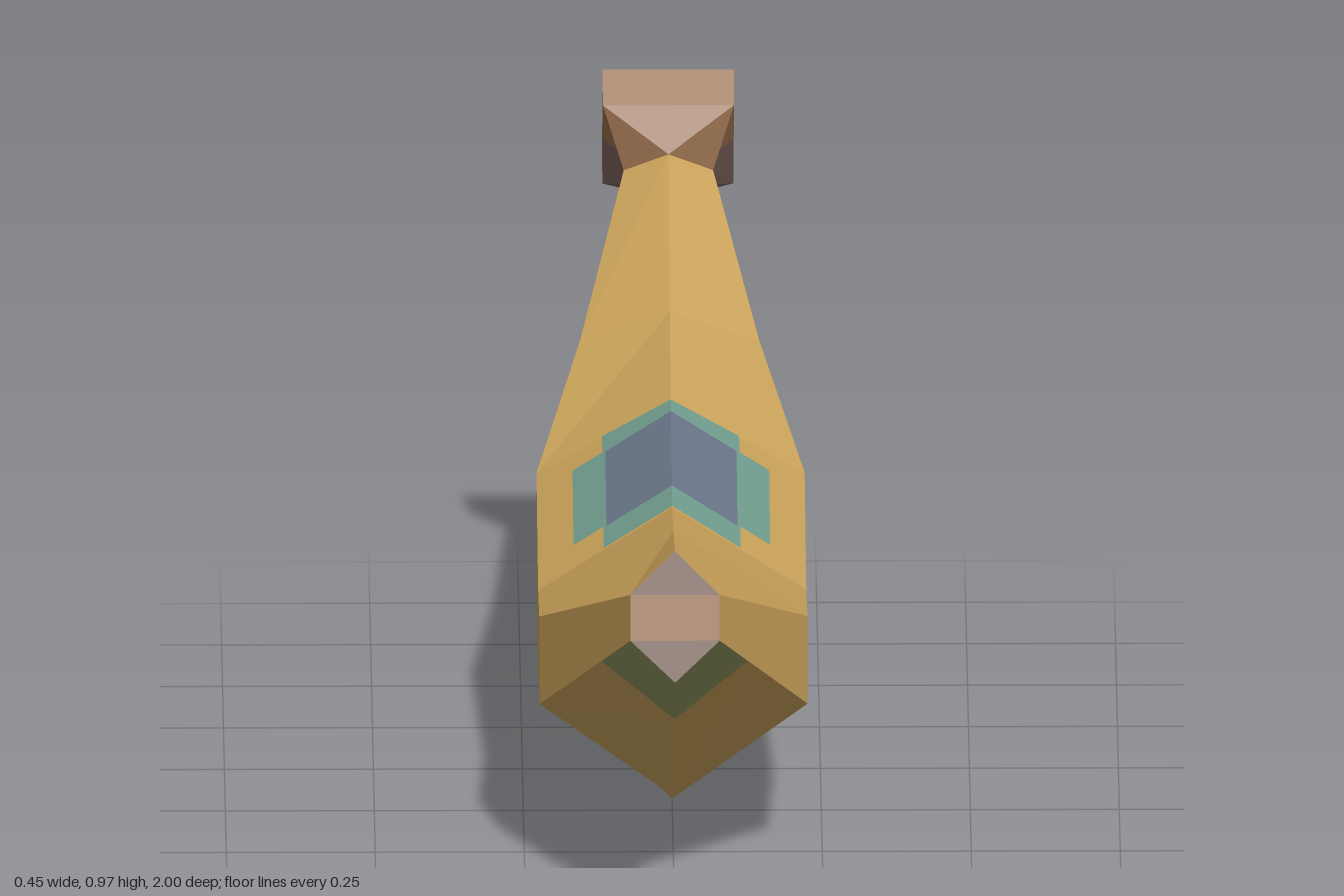
import * as THREE from 'three';

const MATS = {
  peelYellow: 0xc9a259, unripeGreen: 0x91955f, labelTeal: 0x6f9c8c,
  labelSlate: 0x697588, stemBrown: 0x99704f, cutMauve: 0x7f645d,
};

// Each station: half width, then [z, y] of top, upper side, lower side, bottom
const STATIONS = [
  [0.075, [0.93, 0.65], [0.953, 0.58], [0.978, 0.507], [1.0, 0.44]],
  [0.225, [0.50, 0.56], [0.53, 0.42], [0.575, 0.28], [0.615, 0.13]],
  [0.225, [0.22, 0.52], [0.22, 0.376], [0.205, 0.23], [0.18, 0.0]],
  [0.225, [-0.18, 0.59], [-0.22, 0.453], [-0.25, 0.305], [-0.30, 0.09]],
  [0.15, [-0.44, 0.67], [-0.48, 0.61], [-0.565, 0.495], [-0.65, 0.365]],
  [0.075, [-0.77, 0.85], [-0.795, 0.815], [-0.825, 0.78], [-0.85, 0.748]],
];

const lerp = (a, b, t) => a.map((v, i) => v + (b[i] - v) * t);
const flip = (poly) => poly.map(([x, y, z]) => [-x, y, z]).reverse();
const both = (polys) => polys.concat(polys.map(flip));

// Flat-shaded mesh from convex polygons, each split as a fan
function polyMesh(name, polys, material) {
  const pos = [];
  for (const p of polys) {
    for (let i = 1; i < p.length - 1; i++) pos.push(...p[0], ...p[i], ...p[i + 1]);
  }
  const geo = new THREE.BufferGeometry();
  geo.setAttribute('position', new THREE.Float32BufferAttribute(pos, 3));
  geo.computeVertexNormals();
  const mesh = new THREE.Mesh(geo, material);
  mesh.name = name;
  return mesh;
}

export function createModel() {
  const group = new THREE.Group();
  group.name = 'banana';
  const mats = {};
  for (const [name, color] of Object.entries(MATS)) {
    mats[name] = new THREE.MeshStandardMaterial({ color });
    mats[name].name = name;
  }
  const add = (name, mat, polys) => group.add(polyMesh(name, polys, mats[mat]));

  // Left half of every hexagonal ring: top, upper side, lower side, bottom
  const rings = STATIONS.map(([w, ...pts]) =>
    pts.map(([z, y], i) => [i === 1 || i === 2 ? w : 0, y, z]));

  // Peel, with unripe patches near both ends
  const peel = [], frontGreen = [], rearGreen = [];
  for (let s = 0; s < rings.length - 1; s++) {
    for (let i = 0; i < 3; i++) {
      const a = rings[s][i], b = rings[s][i + 1];
      const d = rings[s + 1][i], c = rings[s + 1][i + 1];
      const front = s === 0 && i === 2, rear = s === 4 && i > 0;
      if (!front && !rear) { peel.push([a, b, c, d]); continue; }
      const t = front ? 0.32 : 0.5 - 0.06 * (i - 1);
      const t2 = front ? 0.32 : t - 0.06;
      const m = lerp(a, d, t), n = lerp(b, c, t2);
      (front ? frontGreen : peel).push([a, b, n, m]);
      (front ? peel : rearGreen).push([m, n, c, d]);
    }
  }
  add('peel', 'peelYellow', both(peel));
  add('frontUnripePatch', 'unripeGreen', both(frontGreen));
  add('rearUnripePatch', 'unripeGreen', both(rearGreen));

  // Blossom tip: brown band between two cut corners
  const mirror = ([x, y, z]) => [-x, y, z];
  const [tT, tU, tL, tB] = rings[0];
  add('tipBand', 'stemBrown', [[tU, mirror(tU), mirror(tL), tL]]);
  add('tipCorners', 'cutMauve', [[tT, mirror(tU), tU], [tL, mirror(tL), tB]]);

  // Neck flares from the last ring to the square stem
  const w = 0.11;
  const [T, U, L, Bt] = rings[5];
  const B = [w, 0.925, -0.807], C = [w, 0.75, -0.94];
  const A = [w, 0.972, -0.86], D = [w, 0.797, -1.0];
  const P = lerp(B, C, 0.43), Q = lerp(U, B, 0.32);
  add('neck', 'stemBrown', [[T, B, mirror(B)], ...both([[T, U, B], [Q, P, B]])]);
  add('neckUnderside', 'cutMauve',
    [[Bt, mirror(C), C], ...both([[U, L, C, P, Q], [L, Bt, C]])]);

  // Square stem block with its cut end
  add('stem', 'stemBrown', [
    [mirror(B), B, A, mirror(A)],
    [C, mirror(C), mirror(D), D],
    ...both([[B, C, D, A]]),
  ]);
  add('stemCutEnd', 'cutMauve', [[mirror(A), A, D, mirror(D)]]);

  // Sticker folded over the top ridge
  const onTop = (lift) => ([x, z]) => [x, 0.52 + (0.22 - z) * 0.175 - x * 0.64 + lift, z];
  add('stickerBorder', 'labelTeal', both([
    [[0, 0.22], [0.115, 0.22], [0.115, -0.2], [0, -0.18]].map(onTop(0.003)),
    [[0.115, 0.14], [0.165, 0.14], [0.165, -0.14], [0.115, -0.14]].map(onTop(0.003)),
  ]));
  add('stickerCentre', 'labelSlate', both([
    [[0, 0.15], [0.11, 0.15], [0.11, -0.13], [0, -0.13]].map(onTop(0.006)),
  ]));

  return group;
}
